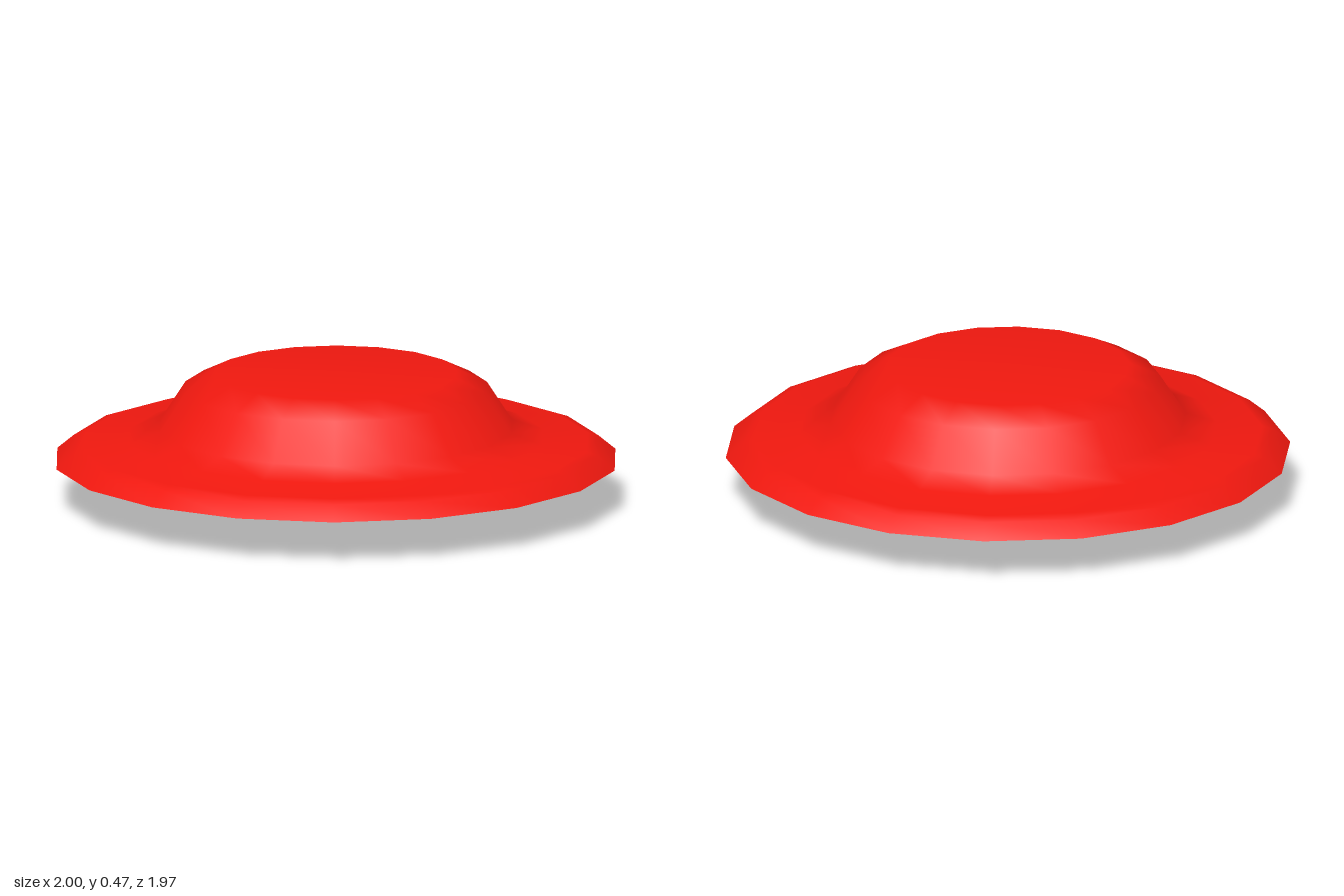
import * as THREE from 'three';

const SIDES = 18;

// Revolve [radius, height] points so that a corner lies on the x axis.
function revolve(name, points, material) {
  const profile = points.map(([r, y]) => new THREE.Vector2(r, y));
  const mesh = new THREE.Mesh(new THREE.LatheGeometry(profile, SIDES, Math.PI / 2), material);
  mesh.name = name;
  return mesh;
}

export function createModel() {
  const red = new THREE.MeshStandardMaterial({ color: 0xf0180f });
  const green = new THREE.MeshStandardMaterial({ color: 0x109c12 });
  const lamp = new THREE.Group();
  lamp.name = 'hangingLamp';

  // Wide brim rising to a flat-topped dome
  lamp.add(revolve('shadeOuter', [
    [1, 0.155], [0.94, 0.205], [0.9, 0.218], [0.74, 0.236],
    [0.63, 0.275], [0.54, 0.415], [0.43, 0.468], [0, 0.468],
  ], red));

  // Shallow conical underside, facing down
  lamp.add(revolve('shadeInner', [[0, 0.46], [1, 0.155]], red));

  // Bulb holder under the shade
  const socket = new THREE.Mesh(new THREE.CylinderGeometry(0.13, 0.13, 0.085, SIDES), red);
  socket.name = 'socket';
  socket.position.y = 0.4;
  lamp.add(socket);

  // Bulb: short neck and round globe
  const bulb = new THREE.Group();
  bulb.name = 'bulb';
  const neck = new THREE.Mesh(new THREE.CylinderGeometry(0.088, 0.095, 0.1, SIDES), green);
  neck.name = 'bulbNeck';
  neck.position.y = 0.345;
  const globe = new THREE.Mesh(new THREE.SphereGeometry(0.177, 16, 8), green);
  globe.name = 'bulbGlobe';
  globe.position.y = 0.177;
  bulb.add(neck, globe);
  lamp.add(bulb);

  return lamp;
}
